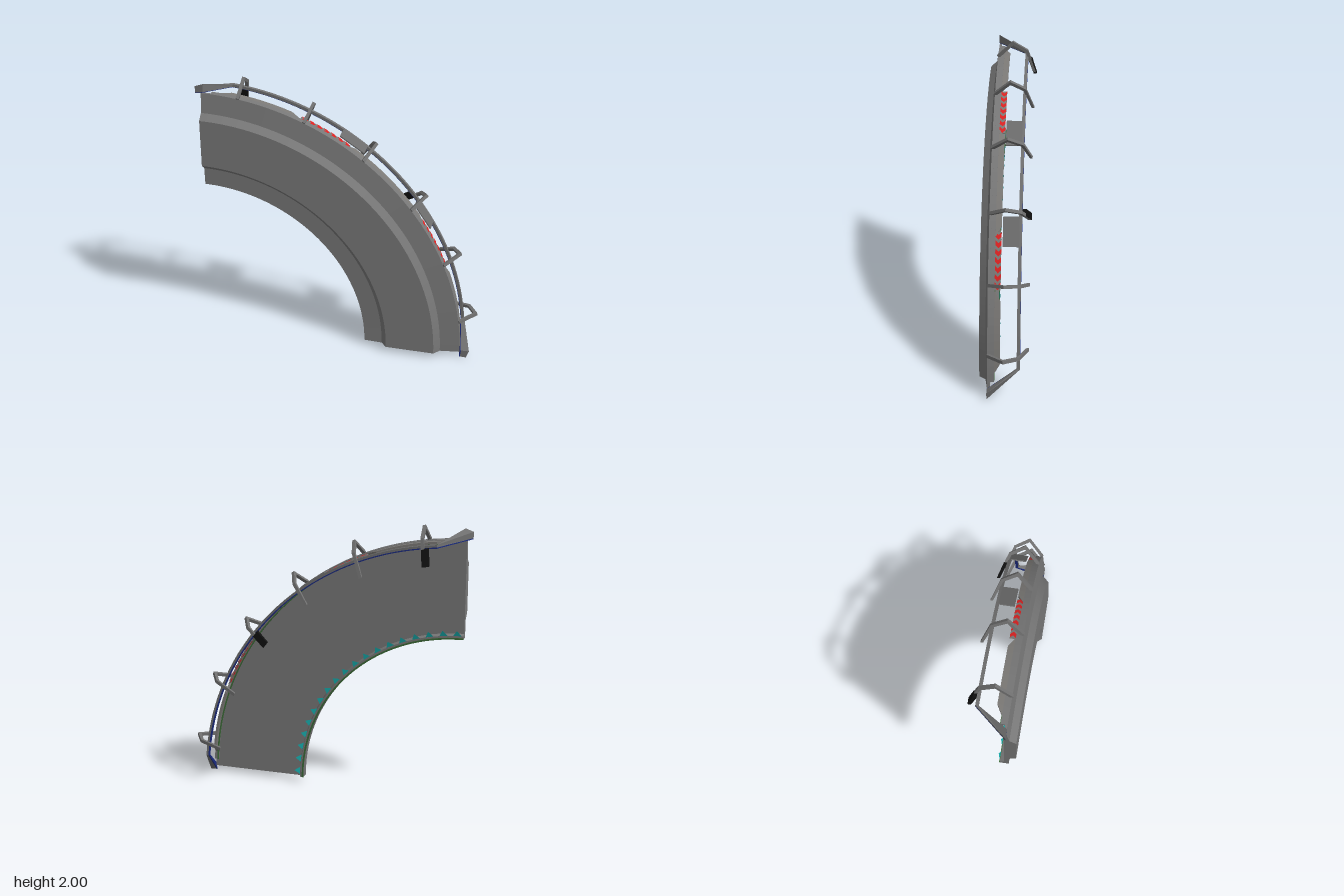
import * as THREE from 'three';

const mat = (name, color, side = THREE.FrontSide) => {
  const m = new THREE.MeshStandardMaterial({ color, side });
  m.name = name;
  return m;
};
const rad = THREE.MathUtils.degToRad;

// Point at radius r, angle a (degrees from straight up, turning to +x), depth z
const polar = (r, a, z) => new THREE.Vector3(r * Math.sin(rad(a)), r * Math.cos(rad(a)), z);

// Solid skin over a row of matching cross-sections, closed by flat caps
function loft(rings, contour) {
  const pos = [];
  const tri = (...pts) => pts.forEach(p => pos.push(p.x, p.y, p.z));
  const n = contour.length;
  for (let i = 0; i < rings.length - 1; i++) {
    for (let j = 0; j < n; j++) {
      const k = (j + 1) % n;
      const A = rings[i][j], B = rings[i][k], C = rings[i + 1][k], D = rings[i + 1][j];
      tri(A, B, C);
      tri(A, C, D);
    }
  }
  const faces = THREE.ShapeUtils.triangulateShape(contour.map(p => new THREE.Vector2(...p)), []);
  const first = rings[0], last = rings[rings.length - 1];
  for (const [a, b, c] of faces) {
    tri(first[a], first[c], first[b]);
    tri(last[a], last[b], last[c]);
  }
  const g = new THREE.BufferGeometry();
  g.setAttribute('position', new THREE.Float32BufferAttribute(pos, 3));
  g.computeVertexNormals();
  return g;
}

// Profile of [r, z] points, counter-clockwise, swept from angle a0 to a1
function arcRings(profile, a0, a1) {
  const steps = Math.max(2, Math.round((a1 - a0) / 1.8));
  return Array.from({ length: steps + 1 }, (_, i) =>
    profile.map(([r, z]) => polar(r, a0 + (a1 - a0) * i / steps, z)));
}
const sweep = (profile, a0, a1) => loft(arcRings(profile, a0, a1), profile);
const rect = (r0, r1, z0, z1) => [[r0, z0], [r1, z0], [r1, z1], [r0, z1]];

const shapeOf = pts => new THREE.Shape(pts.map(p => new THREE.Vector2(...p)));

export function createModel() {
  const model = new THREE.Group();
  const track = new THREE.Group();
  track.name = 'curvedTrack';
  track.position.set(-0.96, 0.04, 0);
  model.add(track);

  const grey = mat('concrete grey', 0x787878);
  const barrierGrey = mat('barrier grey', 0x7c7a77);
  const steel = mat('steel grey', 0x707070);
  const plate = mat('sign grey', 0x6c6c6c, THREE.DoubleSide);
  const navy = mat('navy', 0x1c2c80);
  const green = mat('green', 0x3c6a38);
  const red = mat('red', 0xdc2222, THREE.DoubleSide);
  const teal = mat('teal', 0x18b0b0, THREE.DoubleSide);
  const black = mat('black', 0x101010);

  const add = (name, geo, material) => {
    const m = new THREE.Mesh(geo, material);
    m.name = name;
    track.add(m);
    return m;
  };
  // Place a mesh at an angle; axes are chosen from tangent, radial and depth
  const place = (mesh, a, r, z, axes) => {
    const t = new THREE.Vector3(Math.cos(rad(a)), -Math.sin(rad(a)), 0);
    const out = polar(1, a, 0);
    const front = new THREE.Vector3(0, 0, 1);
    const basis = axes === 'section' ? [out, front, t] : [t, front.clone().negate(), out];
    mesh.quaternion.setFromRotationMatrix(new THREE.Matrix4().makeBasis(...basis));
    mesh.position.copy(polar(r, a, z));
  };

  // Road deck with its raised belly and inner lip
  add('deck', sweep([
    [1.16, 0.06], [1.185, 0.06], [1.195, 0.09], [1.86, 0.09], [1.86, 0.105], [1.72, 0.125],
    [1.68, 0.17], [1.33, 0.17], [1.29, 0.125], [1.16, 0.12],
  ], 0, 90), grey);

  // Outer kerb and taller barrier stretches with ramped ends
  add('outerKerb', sweep(rect(1.835, 1.858, 0.06, 0.09), 2, 88), grey);
  for (const [a0, a1] of [[6, 19.5], [35, 55], [70.5, 84]]) {
    const low = rect(1.838, 1.855, 0.056, 0.06), high = rect(1.838, 1.855, 0.02, 0.06);
    const ends = a => low.map(([r, z]) => polar(r, a, z));
    add('outerBarrier', loft([ends(a0 - 2), ...arcRings(high, a0, a1), ends(a1 + 2)], high), barrierGrey);
  }

  // Thin trim lines on both kerbs
  add('outerTrim', sweep(rect(1.83, 1.838, 0.056, 0.07), 2, 88), green);
  add('innerTrim', sweep(rect(1.16, 1.172, 0.055, 0.06), 0, 90), green);

  // Red direction chevrons on both faces of thin backing plates in the barrier gaps
  const chevron = new THREE.ShapeGeometry(shapeOf([
    [-0.026, -0.02], [0.006, -0.02], [0.026, 0], [0.006, 0.02], [-0.026, 0.02], [-0.006, 0],
  ]));
  for (const start of [22.6, 57]) {
    add('chevronBoard', sweep(rect(1.845, 1.85, 0.02, 0.06), start - 0.9, start + 11.2), barrierGrey);
    for (let i = 0; i < 7; i++) {
      for (const r of [1.842, 1.853]) {
        place(add('redChevron', chevron, red), start + i * 1.72, r, 0.04);
      }
    }
  }

  // Teal markers leaning off the inner lip over the deck
  const marker = new THREE.BufferGeometry().setFromPoints([
    polar(1.186, 1.4, 0.057), polar(1.186, -1.4, 0.057), polar(1.226, 0, 0.046),
  ]);
  marker.computeVertexNormals();
  for (let i = 0; i < 19; i++) {
    add('tealMarker', marker, teal).rotation.z = -rad(2 + i * 4.75);
  }

  // Sign boards between barrier and guard rail
  for (const a of [33.9, 56.1]) {
    place(add('signBoard', new THREE.BoxGeometry(0.205, 0.11, 0.008), plate), a, 1.857, -0.043);
  }

  // Guard rail, flaring down to the deck at both ends, with a blue inner face
  const flaredRail = (profile, foot) => {
    const end = (aBack, aFront) => foot.map((r, j) => polar(r, j < 2 ? aBack : aFront, 0.108));
    return loft([end(-1.2, 0.5), ...arcRings(profile, 5, 85), end(91.2, 89.5)], profile);
  };
  add('guardRail', flaredRail(rect(1.84, 1.86, -0.115, -0.093), [1.862, 1.91, 1.93, 1.87]), steel);
  add('railStripe', flaredRail(rect(1.836, 1.844, -0.116, -0.096), [1.859, 1.866, 1.872, 1.866]), navy);

  // Bent brackets hooking over the rail, two of them carrying lamps
  const bracket = new THREE.ExtrudeGeometry(shapeOf([
    [1.85, 0.098], [1.952, -0.005], [1.898, -0.096], [1.742, -0.152],
    [1.738, -0.171], [1.912, -0.114], [1.98, -0.005], [1.868, 0.112],
  ]), { depth: 0.022, bevelEnabled: false });
  bracket.translate(0, 0, -0.011);
  const lamp = new THREE.ExtrudeGeometry(shapeOf([
    [1.73, -0.154], [1.727, -0.176], [1.838, -0.142], [1.842, -0.114],
  ]), { depth: 0.05, bevelEnabled: false });
  lamp.translate(0, 0, -0.04);
  for (let i = 0; i < 6; i++) {
    const a = 8 + i * 14.8;
    place(add('bracket', bracket, steel), a, 0, 0, 'section');
    if (i === 0 || i === 3) place(add('lamp', lamp, black), a, 0, 0, 'section');
  }

  return model;
}
